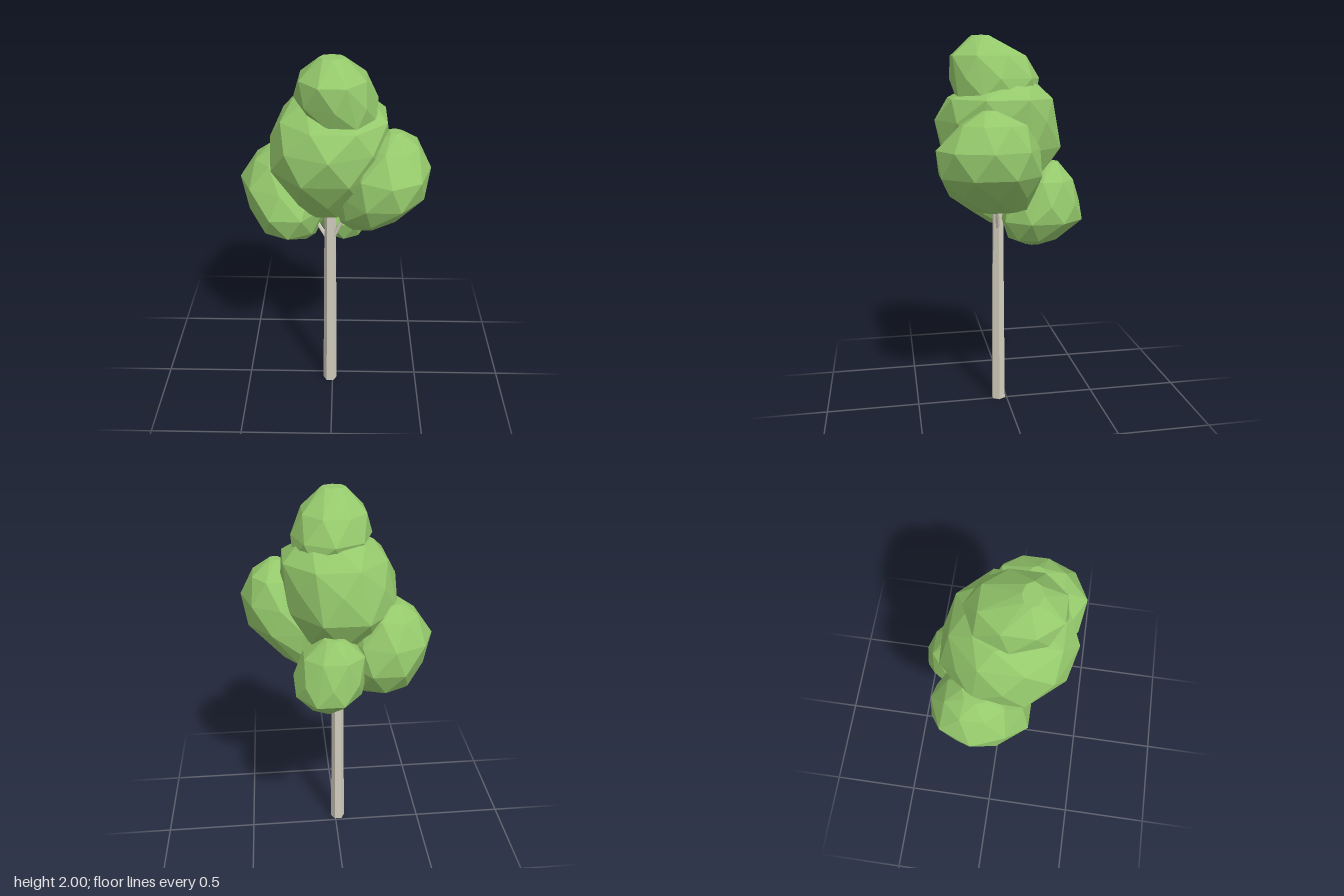
import * as THREE from 'three';
import { ConvexGeometry } from 'three/addons/geometries/ConvexGeometry.js';

const leafGreen = new THREE.MeshStandardMaterial({ color: 0x95c96c, flatShading: true });
leafGreen.name = 'leaf green';
const barkGrey = new THREE.MeshStandardMaterial({ color: 0xd2cdbd, flatShading: true });
barkGrey.name = 'bark grey';

// Faceted leaf clump: staggered rings, each [y, xMin, xMax, zMin, zMax], wrapped in a hull
function leafClump(name, rings) {
  const sides = 8;
  const points = [];
  rings.forEach(([y, x0, x1, z0, z1], row) => {
    // Half-turned rings are widened so their flats still reach the limits
    const stagger = row % 2;
    const swell = stagger ? 1.07 : 1.01;
    for (let i = 0; i < sides; i++) {
      const angle = ((i + stagger / 2) / sides) * Math.PI * 2;
      points.push(new THREE.Vector3(
        (x0 + x1) / 2 + Math.cos(angle) * swell * (x1 - x0) / 2,
        y,
        (z0 + z1) / 2 + Math.sin(angle) * swell * (z1 - z0) / 2,
      ));
    }
  });
  const mesh = new THREE.Mesh(new ConvexGeometry(points), leafGreen);
  mesh.name = name;
  return mesh;
}

// Tapered six-sided limb between two points
function limb(name, from, to, r0, r1) {
  const a = new THREE.Vector3(...from), b = new THREE.Vector3(...to);
  const axis = b.clone().sub(a);
  const geometry = new THREE.CylinderGeometry(r1, r0, axis.length(), 6);
  geometry.rotateY(Math.PI / 6);
  const mesh = new THREE.Mesh(geometry, barkGrey);
  mesh.quaternion.setFromUnitVectors(new THREE.Vector3(0, 1, 0), axis.normalize());
  mesh.position.copy(a).add(b).multiplyScalar(0.5);
  mesh.name = name;
  return mesh;
}

const crown = {
  topClump: [
    [2.0, -0.06, 0.06, 0.09, 0.18],
    [1.9, -0.155, 0.16, -0.09, 0.285],
    [1.79, -0.185, 0.215, -0.165, 0.295],
    [1.7, -0.11, 0.21, -0.13, 0.265],
    [1.64, -0.05, 0.12, -0.05, 0.18],
  ],
  mainClump: [
    [1.78, -0.18, 0.17, -0.14, 0.14],
    [1.69, -0.25, 0.265, -0.22, 0.3],
    [1.58, -0.305, 0.275, -0.26, 0.37],
    [1.44, -0.305, 0.245, -0.275, 0.34],
    [1.29, -0.24, 0.2, -0.2, 0.26],
    [1.19, -0.16, 0.1, -0.1, 0.17],
    [1.15, -0.05, 0.06, -0.02, 0.1],
  ],
  leftClump: [
    [1.645, 0.27, 0.33, 0.1, 0.17],
    [1.58, 0.18, 0.415, -0.04, 0.27],
    [1.46, 0.08, 0.48, -0.115, 0.39],
    [1.33, 0.045, 0.45, -0.12, 0.375],
    [1.22, 0.02, 0.36, -0.11, 0.32],
    [1.14, 0.04, 0.27, -0.07, 0.21],
  ],
  rightClump: [
    [1.48, -0.33, -0.2, -0.14, 0.0],
    [1.42, -0.4, -0.13, -0.22, 0.07],
    [1.3, -0.485, -0.05, -0.3, 0.15],
    [1.17, -0.435, -0.04, -0.305, 0.19],
    [1.05, -0.4, -0.06, -0.25, 0.16],
    [1.0, -0.25, -0.09, -0.14, 0.07],
  ],
  backClump: [
    [1.36, -0.02, 0.08, -0.27, -0.19],
    [1.27, -0.12, 0.18, -0.34, -0.08],
    [1.15, -0.14, 0.23, -0.385, 0],
    [1.06, -0.11, 0.225, -0.385, 0.03],
    [0.96, -0.05, 0.17, -0.28, 0.0],
    [0.925, 0.02, 0.1, -0.18, -0.09],
  ],
};

export function createModel() {
  const tree = new THREE.Group();
  tree.name = 'tree';

  // Trunk and the thin branches reaching into the clumps
  tree.add(
    limb('trunk', [-0.015, 0, 0.045], [-0.012, 1.4, 0.045], 0.04, 0.028),
    limb('leftBranch', [-0.005, 0.98, 0.045], [0.13, 1.3, 0.08], 0.012, 0.008),
    limb('rightBranch', [-0.02, 0.98, 0.045], [-0.16, 1.2, 0.0], 0.012, 0.008),
  );

  // Crown
  for (const [name, rings] of Object.entries(crown)) tree.add(leafClump(name, rings));

  return tree;
}
